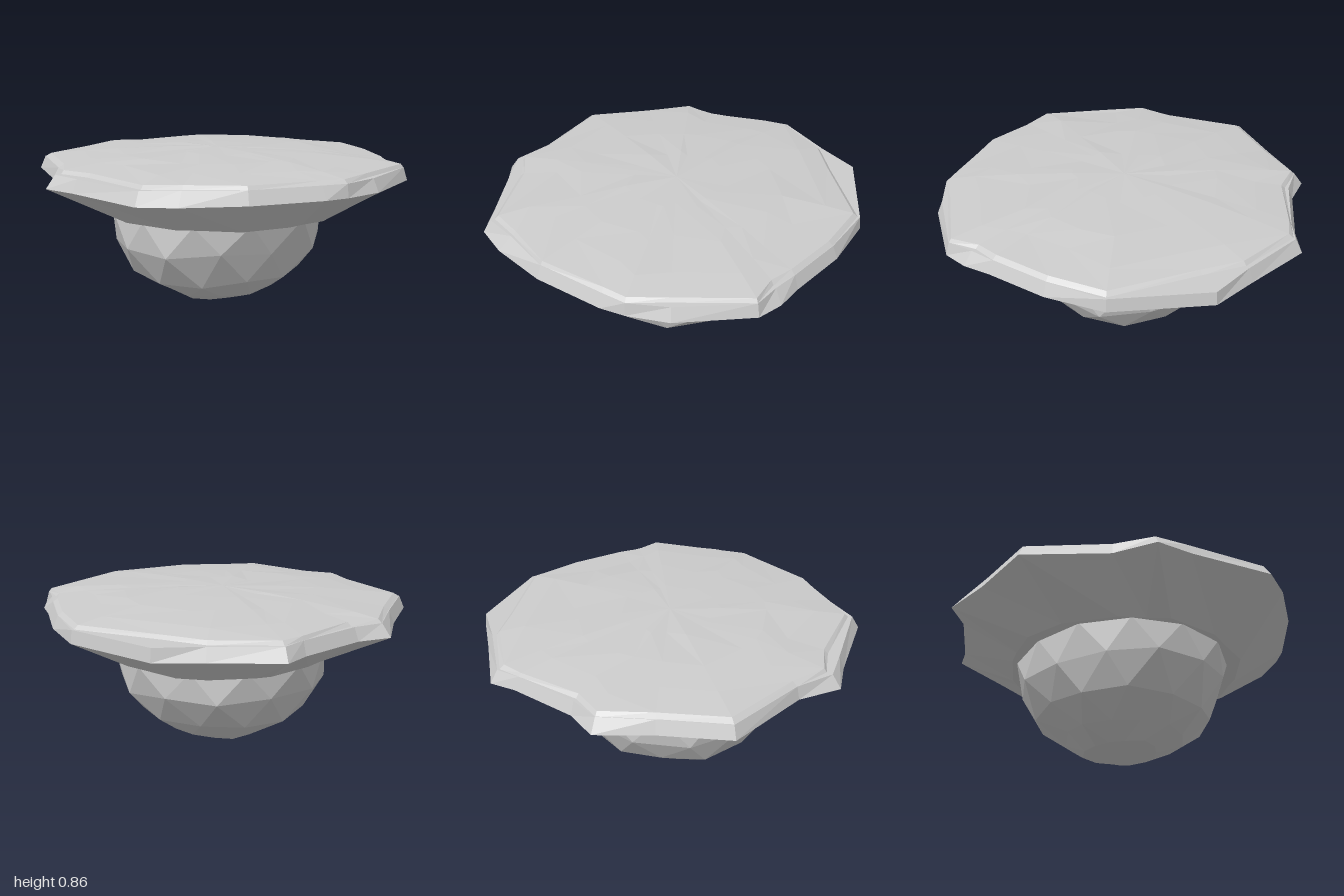
import * as THREE from 'three';

const material = new THREE.MeshStandardMaterial({ color: 0xcccccc, flatShading: true });

// Small seeded generator, returns -1..1
function seeded(seed) {
  let s = seed;
  return () => {
    s = (s * 16807) % 2147483647;
    return (s / 2147483647) * 2 - 1;
  };
}

// Joins rings of [x, y, z] points, listed from the bottom up
function loft(rings, name) {
  const n = rings[0].length;
  const index = [];
  for (let r = 0; r < rings.length - 1; r++) {
    for (let i = 0; i < n; i++) {
      const j = (i + 1) % n;
      const a = r * n + i, b = r * n + j, c = b + n, d = a + n;
      if (r % 2) index.push(a, d, c, a, c, b);
      else index.push(a, d, b, d, c, b);
    }
  }
  const geometry = new THREE.BufferGeometry();
  geometry.setAttribute('position', new THREE.Float32BufferAttribute(rings.flat(2), 3));
  geometry.setIndex(index);
  const flat = geometry.toNonIndexed();
  flat.computeVertexNormals();
  const mesh = new THREE.Mesh(flat, material);
  mesh.name = name;
  return mesh;
}

// Ragged rim seen from above: x, z, inset of the upper edge, inset of the cap
const rim = [
  [0, -1, 0.05, 0], [0.15, -0.9, 0.03, 0.02], [0.5, -0.81, 0.03, 0],
  [0.64, -0.8, 0.04, 0.01], [0.84, -0.5, 0.03, 0.02], [0.98, -0.3, 0.01, 0.13],
  [0.97, 0.2, 0.01, 0.01], [0.83, 0.47, 0.03, 0], [0.63, 0.72, 0.03, 0],
  [0.55, 0.84, 0.05, 0.02], [0.45, 0.93, 0.02, 0], [0.06, 1, 0.03, 0.03],
  [-0.15, 0.97, 0.01, 0], [-0.27, 0.93, 0.03, 0], [-0.6, 0.75, 0.03, 0],
  [-0.84, 0.55, 0.07, 0.01], [-0.96, 0.4, 0.04, 0.02], [-0.96, -0.05, 0.03, 0.06],
  [-0.98, -0.24, 0.05, 0.03], [-0.81, -0.4, 0.02, 0], [-0.62, -0.81, 0.03, 0],
  [-0.27, -0.9, 0.03, 0],
];

function createLedge() {
  const rand = seeded(41);
  const around = (radius, y, jitter) => rim.map(([x, z]) => {
    const k = radius * (1 + rand() * jitter) / Math.hypot(x, z);
    return [0.01 + x * k, y, 0.02 + z * k];
  });
  return loft([
    around(0.53, 0.53, 0),
    around(0.655, 0.53, 0.025),
    rim.map(([x, z]) => [x, 0.72, z]),
    rim.map(([x, z, inset]) => [x * (1 - inset), 0.787, z * (1 - inset)]),
    around(0.7, 0.787, 0),
  ], 'rockLedge');
}

function createCap() {
  const rand = seeded(7);
  const ring = (k, y, jitter) => rim.map(([x, z, edge, inset]) => {
    const s = k * (1 - edge - inset) * (1 + rand() * jitter);
    return [x * s, y + rand() * jitter * 0.04, z * s];
  });
  return loft([
    ring(1, 0.785, 0),
    ring(0.975, 0.805, 0.012),
    ring(0.8, 0.823, 0.06),
    ring(0.56, 0.839, 0.07),
    ring(0.28, 0.85, 0.07),
    ring(0, 0.855, 0),
  ], 'groundCap');
}

function createBowl() {
  const rand = seeded(1234);
  const n = 13;
  // Height, radius in x, radius in z, roughness
  const levels = [
    [0, 0, 0, 0], [0.03, 0.21, 0.2, 0.03], [0.09, 0.335, 0.32, 0.025],
    [0.2, 0.49, 0.485, 0.02], [0.37, 0.625, 0.56, 0.035], [0.54, 0.64, 0.59, 0.025],
  ];
  const rings = levels.map(([y, rx, rz, rough], level) => {
    const ring = [];
    for (let i = 0; i < n; i++) {
      const a = ((i + (level % 2) * 0.5) / n) * Math.PI * 2;
      const k = rand() * rough;
      // Only the middle levels wander in height
      const lift = level > 1 && level < 5 ? rand() * rough * 0.7 : 0;
      ring.push([Math.sin(a) * (rx + k) - 0.01, y + lift, -Math.cos(a) * (rz + k)]);
    }
    return ring;
  });
  return loft(rings, 'rockBowl');
}

export function createModel() {
  const group = new THREE.Group();
  group.name = 'floatingIsland';
  group.add(createBowl(), createLedge(), createCap());
  return group;
}
